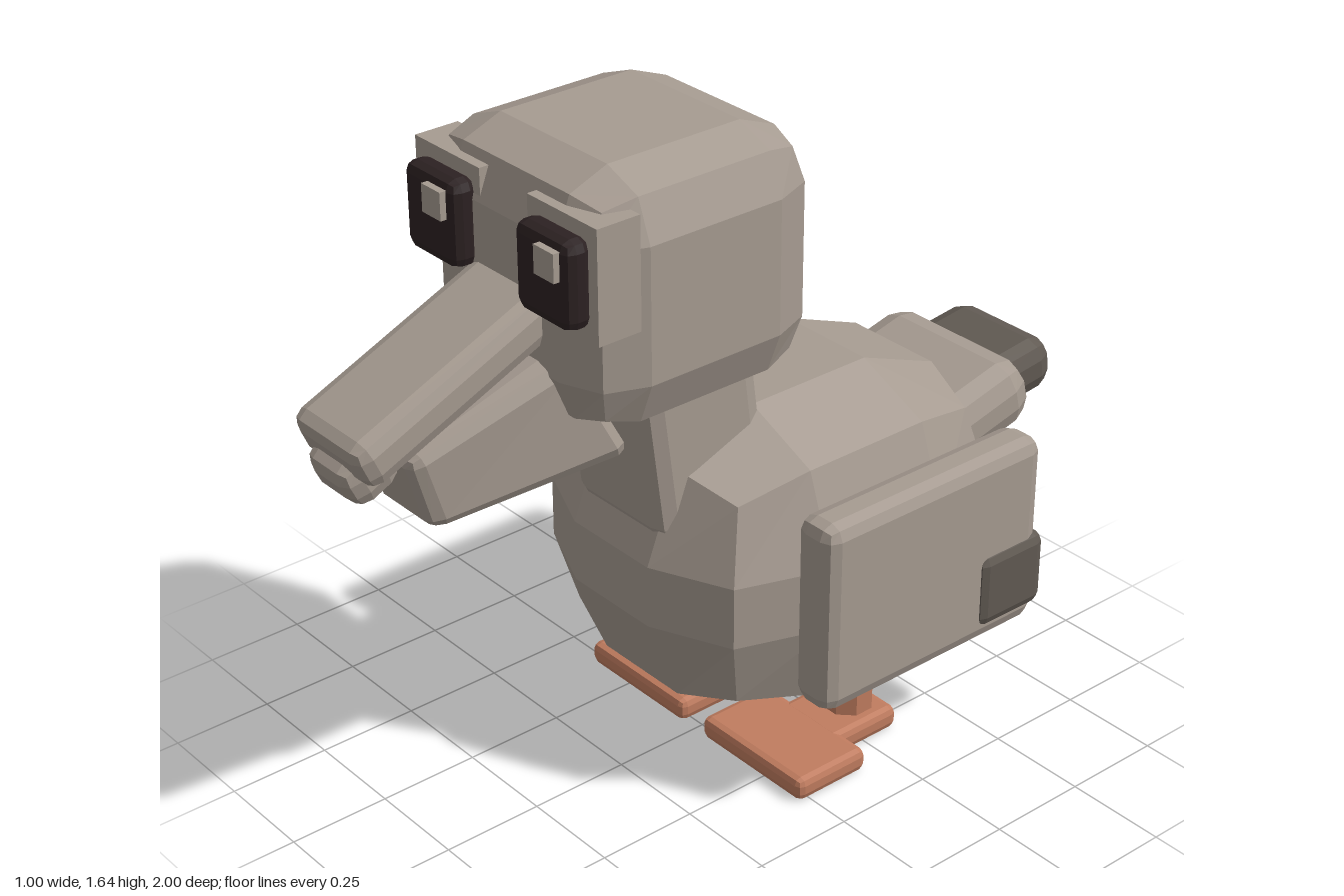
import * as THREE from 'three';

const mat = (name, color) => new THREE.MeshStandardMaterial({ name, color, flatShading: true });

// Box with faceted, rounded-off edges. c is the bevel depth per axis; warp may reshape each vertex.
function chunk(w, h, d, c, warp) {
  let g = new THREE.BoxGeometry(1, 1, 1, 3, 3, 3);
  const half = [w / 2, h / 2, d / 2];
  const bevel = Array.isArray(c) ? c : [c, c, c];
  const inset = [0, 0, 0.28, 0.42]; // pull-in for faces, edges, corners
  const p = g.attributes.position;
  const v = new THREE.Vector3();
  for (let i = 0; i < p.count; i++) {
    v.fromBufferAttribute(p, i);
    const q = v.toArray();
    const outer = q.map((t) => Math.abs(t) > 0.4);
    const n = outer.filter(Boolean).length;
    v.fromArray(q.map((t, k) => Math.sign(t) * (half[k] - bevel[k] * (outer[k] ? inset[n] : 1))));
    if (warp) warp(v);
    p.setXYZ(i, v.x, v.y, v.z);
  }
  g = g.toNonIndexed();
  g.computeVertexNormals();
  return g;
}

export function createModel() {
  const root = new THREE.Group();
  root.name = 'bird';
  const plumage = mat('greyPlumage', 0xa69b91);
  const dark = mat('darkFeather', 0x615a53);
  const black = mat('eyeBlack', 0x2c2122);
  const orange = mat('orangeSkin', 0xc07c5f);

  function add(name, geometry, material, x, y, z, tilt = 0) {
    const m = new THREE.Mesh(geometry, material);
    m.name = name;
    m.position.set(x, y, z);
    m.rotation.x = tilt;
    root.add(m);
    return m;
  }

  // Body, neck and head
  add('body', chunk(0.8, 0.765, 0.95, [0.27, 0.305, 0.305]), plumage, 0, 0.54, -0.205);
  add('neck', chunk(0.32, 0.6, 0.32, 0.045, (v) => { v.z += v.y * 0.13; }), plumage, 0, 0.96, 0.12);
  add('head', chunk(0.625, 0.585, 0.62, 0.135), plumage, 0, 1.352, 0.225);

  // Beak: sloping upper bill, hooked tip and tapering lower pouch
  add('upperBeak', chunk(0.25, 0.115, 0.62, 0.035), plumage, 0, 1.236, 0.7, 0.41);
  add('beakTip', chunk(0.165, 0.115, 0.13, 0.04), plumage, 0, 1.075, 0.93, 0.45);
  const pouch = chunk(2, 2, 2, [0.3, 0.25, 0.15], (v) => {
    const t = (v.z + 1) / 2; // back to front
    const s = (v.y + 1) / 2; // bottom to top
    const L = THREE.MathUtils.lerp;
    v.set(
      v.x * L(L(0.185, 0.16, s), 0.1, t),
      L(L(0.95, 1.24, s), L(0.905, 1.085, s), t),
      L(L(0.33, 0.48, s), L(0.81, 0.86, s), t)
    );
  });
  add('lowerBeak', pouch, plumage, 0, 0, 0);

  // Tail
  add('tailBase', chunk(0.45, 0.17, 0.33, 0.06), plumage, 0, 0.675, -0.695, 0.24);
  add('tailTip', chunk(0.31, 0.135, 0.26, 0.045), dark, 0, 0.695, -0.868, 0.12);

  for (const side of [1, -1]) {
    const label = side > 0 ? 'left' : 'right';

    // Eye on its square socket; both glints sit toward the same side
    add(label + 'EyeSocket', new THREE.BoxGeometry(0.225, 0.26, 0.11), plumage, side * 0.193, 1.455, 0.475);
    add(label + 'Eye', chunk(0.18, 0.2, 0.07, 0.025), black, side * 0.19, 1.455, 0.55);
    add(label + 'EyeGlint', new THREE.BoxGeometry(0.065, 0.065, 0.02), plumage, side * 0.19 + 0.032, 1.502, 0.59);

    // Wing with dark rear corner
    add(label + 'Wing', chunk(0.115, 0.48, 0.66, 0.035), plumage, side * 0.433, 0.545, -0.275);
    add(label + 'WingTip', chunk(0.13, 0.19, 0.205, 0.025), dark, side * 0.435, 0.438, -0.517);

    // Leg and T-shaped foot
    const leg = new THREE.CylinderGeometry(0.064, 0.064, 0.24, 8);
    leg.rotateY(Math.PI / 8);
    add(label + 'Leg', leg, orange, side * 0.212, 0.16, -0.275);
    add(label + 'Foot', chunk(0.35, 0.058, 0.21, 0.018), orange, side * 0.21, 0.03, -0.072);
    add(label + 'Heel', chunk(0.19, 0.058, 0.21, 0.018), orange, side * 0.21, 0.03, -0.247);
  }
  return root;
}
